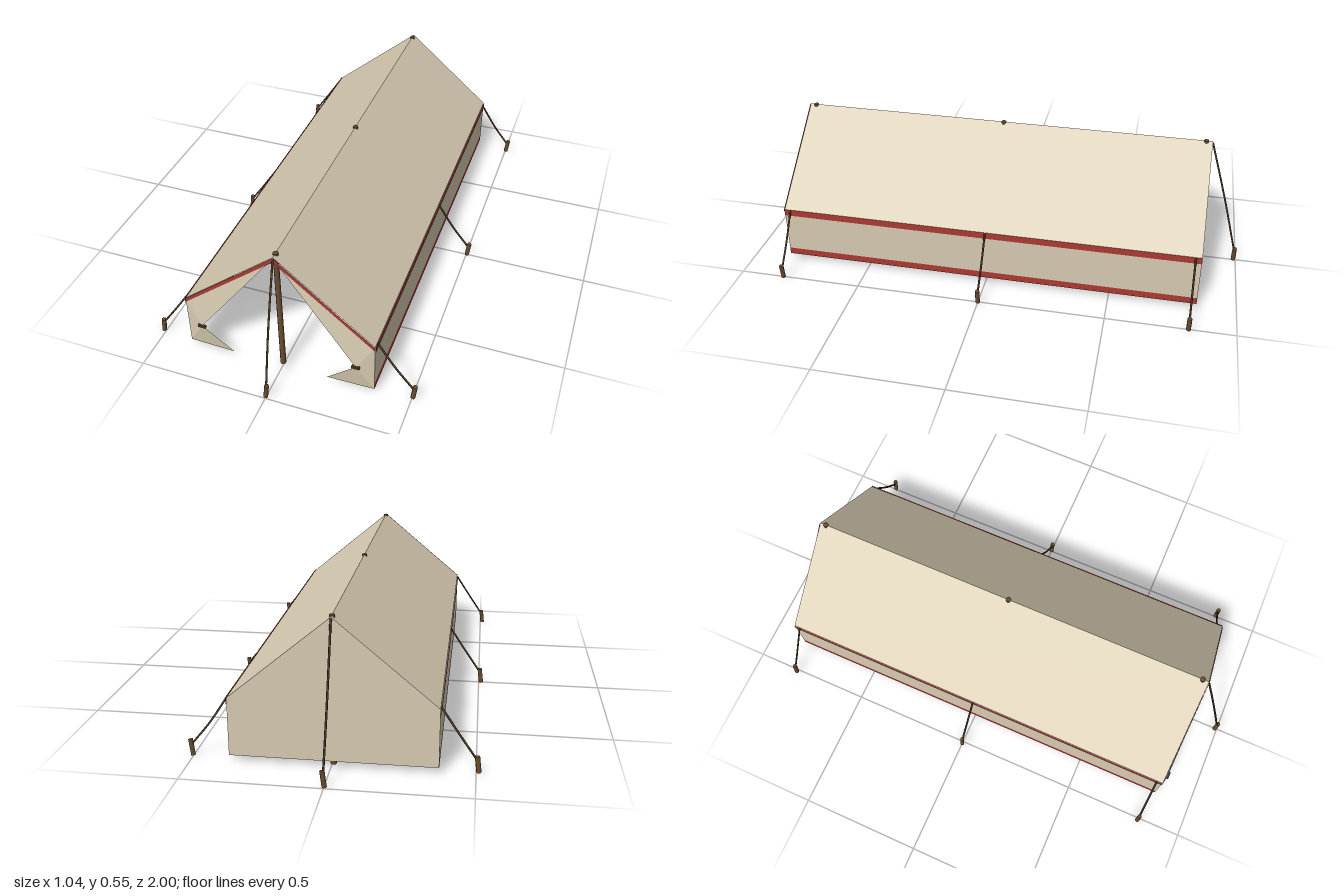
import * as THREE from 'three';

const CX = -0.005;          // tent centre line
const HALF = 0.369;         // half width at the eaves
const END = 0.845;          // half length
const RIDGE = 0.547, EAVE = 0.238, BASE = 0.02, HEM = 0.048;

export function createModel() {
  const canvas = new THREE.MeshStandardMaterial({ color: 0xd6cab1, side: THREE.DoubleSide });
  const red = new THREE.MeshStandardMaterial({ color: 0xab3932, side: THREE.DoubleSide });
  const wood = new THREE.MeshStandardMaterial({ color: 0x6b4e31 });
  const rope = new THREE.MeshStandardMaterial({ color: 0x4d3c2a });
  canvas.name = 'canvas';
  red.name = 'redTrim';
  wood.name = 'wood';
  rope.name = 'rope';

  const model = new THREE.Group();
  model.name = 'ridgeTent';

  const add = (name, geometry, material, x = 0, y = 0, z = 0) => {
    const mesh = new THREE.Mesh(geometry, material);
    mesh.name = name;
    mesh.position.set(x, y, z);
    model.add(mesh);
    return mesh;
  };

  // Flat-shaded cloth panel: a fan of triangles around the first corner
  const panel = (name, material, corners) => {
    const pos = [];
    for (let i = 1; i < corners.length - 1; i++) {
      pos.push(...corners[0], ...corners[i], ...corners[i + 1]);
    }
    const geometry = new THREE.BufferGeometry();
    geometry.setAttribute('position', new THREE.Float32BufferAttribute(pos, 3));
    geometry.computeVertexNormals();
    return add(name, geometry, material);
  };

  // Strip running the whole length between two points of the cross-section,
  // facing outwards on the given side
  const strip = (name, material, side, [x0, y0], [x1, y1]) => {
    const z = END * side;
    panel(name, material, [[x0, y0, z], [x0, y0, -z], [x1, y1, -z], [x1, y1, z]].reverse());
  };

  const guyLine = (name, points) => {
    const curve = new THREE.CatmullRomCurve3(points.map(p => new THREE.Vector3(...p)));
    add(name, new THREE.TubeGeometry(curve, 8, 0.004, 6), rope);
  };

  const stake = (name, x, z) => {
    const mesh = add(name, new THREE.CylinderGeometry(0.009, 0.009, 0.06, 8), wood, x, 0.03, z);
    mesh.rotation.z = -0.12;
  };

  for (const s of [1, -1]) {
    const label = s > 0 ? 'left' : 'right';
    const wx = CX + s * HALF;

    // Roof, wall, hem and the eave band that hangs just outside the wall
    strip(label + 'Roof', canvas, s, [CX, RIDGE], [wx, EAVE]);
    strip(label + 'Wall', canvas, s, [wx, EAVE], [wx, HEM]);
    strip(label + 'Hem', red, s, [wx, HEM], [wx, BASE]);
    strip(label + 'EaveBand', red, s, [wx + s * 0.003, EAVE + 0.002], [wx + s * 0.003, 0.212]);

    // Red edging along the front gable
    const tz = END + 0.003;
    const edging = [[CX, RIDGE, tz], [CX, RIDGE - 0.019, tz],
      [wx, EAVE - 0.017, tz], [wx, EAVE, tz]];
    panel(label + 'GableEdging', red, s > 0 ? edging : edging.reverse());

    // Door flap folded back and gathered at its tie
    const tie = [CX + s * 0.303, 0.131, 0.863];
    const flap = [tie, [CX, RIDGE - 0.005, END], [wx, EAVE - 0.004, END],
      [wx, BASE, END], [CX + s * 0.187, BASE, END + 0.004]];
    panel(label + 'DoorFlap', canvas, flap);
    add(label + 'FlapTie', new THREE.BoxGeometry(0.03, 0.011, 0.01), rope, ...tie);

    // Side guy lines and stakes
    for (const z of [-0.82, 0, 0.82]) {
      guyLine(label + 'GuyLine', [[wx, EAVE, z], [CX + s * 0.44, 0.13, z], [s * 0.503, 0.045, z]]);
      stake(label + 'Stake', s * 0.506, z);
    }

    // End guy line and stake
    const end = s > 0 ? 'front' : 'back';
    guyLine(end + 'GuyLine', [[CX, RIDGE - 0.004, s * END], [CX + 0.002, 0.28, s * 0.925],
      [0.002, 0.045, s * 0.99]]);
    stake(end + 'Stake', 0.002, s * 0.991);
  }

  // Closed back gable
  panel('backWall', canvas, [[CX, RIDGE, -END], [CX + HALF, EAVE, -END],
    [CX + HALF, BASE, -END], [CX - HALF, BASE, -END], [CX - HALF, EAVE, -END]]);

  // Upright poles under the ridge
  for (const z of [-0.82, 0, 0.82]) {
    add('pole', new THREE.CylinderGeometry(0.01, 0.011, 0.549, 10), wood, CX, 0.2745, z);
  }

  return model;
}
